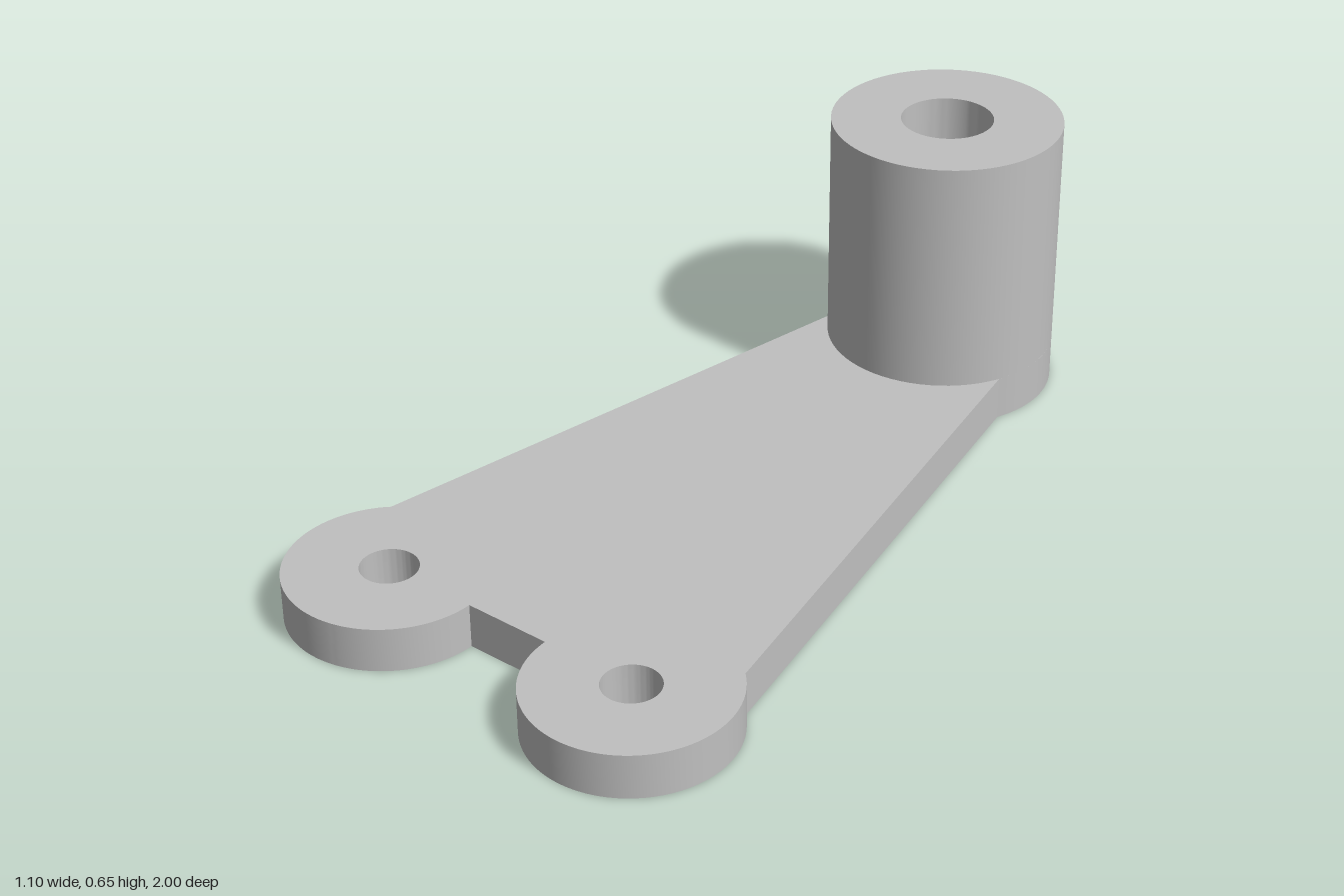
import * as THREE from 'three';
import { toCreasedNormals } from 'three/addons/utils/BufferGeometryUtils.js';

export function createModel() {
  const model = new THREE.Group();
  const grey = new THREE.MeshStandardMaterial({ color: 0xc0c0c0 });
  grey.name = 'plain grey';

  const plateH = 0.102, bossH = 0.648;
  const boss = { z: -0.737, r: 0.263, bore: 0.105, hole: 0.066 };
  const foot = { x: 0.326, z: 0.774, r: 0.224, hole: 0.063 };
  const rad = THREE.MathUtils.degToRad;

  function add(name, geometry) {
    const mesh = new THREE.Mesh(toCreasedNormals(geometry, rad(30)), grey);
    mesh.name = name;
    model.add(mesh);
    return mesh;
  }

  // Plate outline drawn in x and z: left foot, boss end, right foot, notch
  const outline = new THREE.Shape();
  outline.absarc(foot.x, foot.z, foot.r, rad(180), rad(-46.8), true);
  outline.absarc(0, boss.z, boss.r, rad(23.8), rad(-203.8), true);
  outline.absarc(-foot.x, foot.z, foot.r, rad(226.8), rad(0), true);
  outline.closePath();

  // Through holes in both feet and under the boss
  for (const [x, z, r] of [
    [foot.x, foot.z, foot.hole],
    [-foot.x, foot.z, foot.hole],
    [0, boss.z, boss.hole],
  ]) {
    outline.holes.push(new THREE.Path().absarc(x, z, r, 0, Math.PI * 2, false));
  }
  const plate = new THREE.ExtrudeGeometry(outline, {
    depth: plateH, bevelEnabled: false, curveSegments: 48,
  });
  plate.rotateX(Math.PI / 2).translate(0, plateH, 0);
  add('plate', plate);

  // Boss with a wide bore that stops on the plate
  const profile = [
    [boss.r, plateH], [boss.r, bossH], [boss.bore, bossH], [boss.bore, plateH],
  ].map(([r, y]) => new THREE.Vector2(r, y));
  add('boss', new THREE.LatheGeometry(profile, 72)).position.z = boss.z;

  return model;
}
